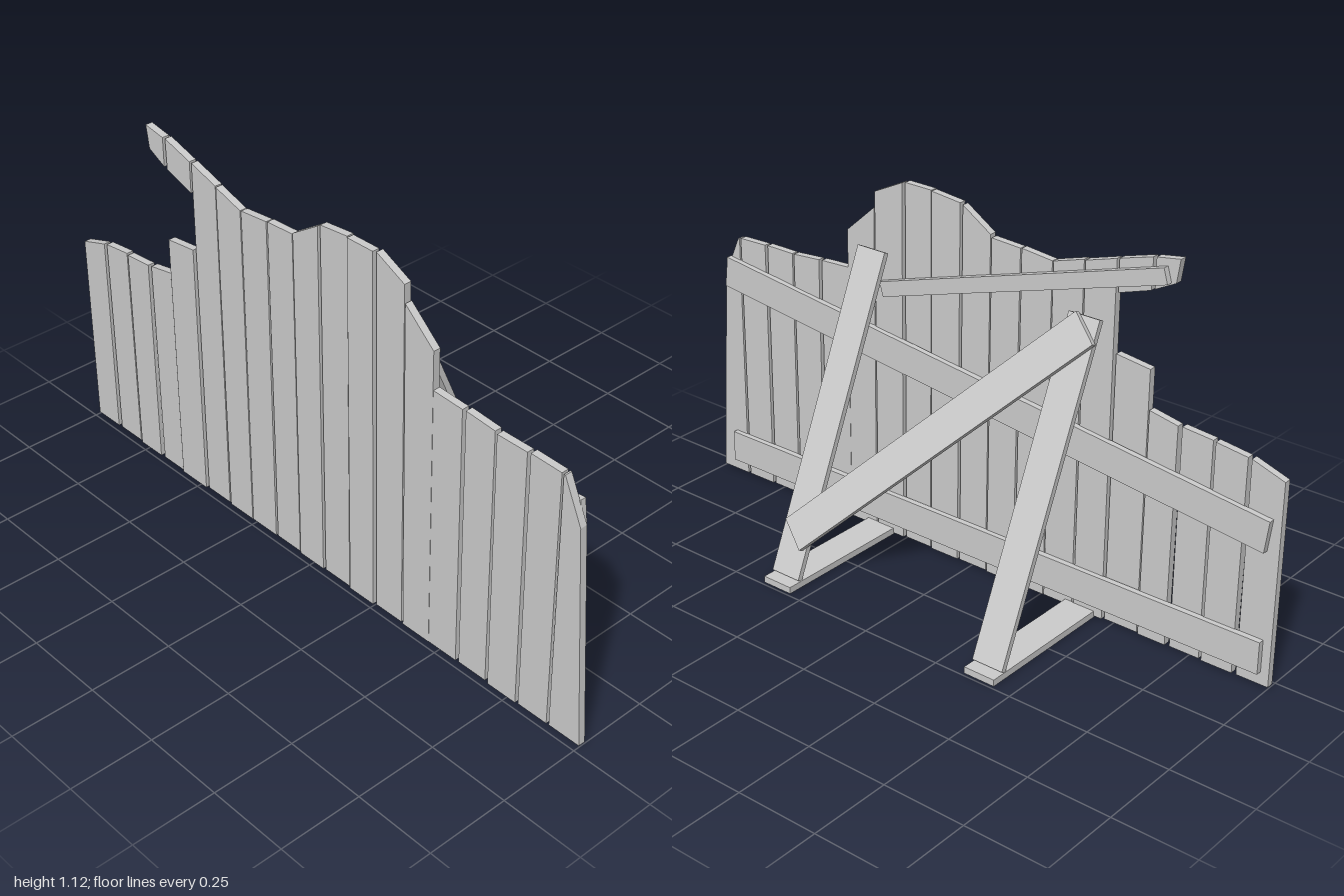
import * as THREE from 'three';

const material = new THREE.MeshStandardMaterial({ color: 0xcccccc, flatShading: true });

function addBox(parent, name, size, position, rotZ = 0) {
  const mesh = new THREE.Mesh(new THREE.BoxGeometry(...size), material);
  mesh.name = name;
  mesh.position.set(...position);
  mesh.rotation.z = rotZ;
  parent.add(mesh);
  return mesh;
}

// Flat board running from point a to point b in the xy plane
function addBoard(parent, name, a, b, width, z, depth) {
  const dx = b[0] - a[0], dy = b[1] - a[1];
  return addBox(parent, name, [Math.hypot(dx, dy), width, depth],
    [(a[0] + b[0]) / 2, (a[1] + b[1]) / 2, z], Math.atan2(dy, dx));
}

// Plank cut from an outline, with its back face at z
function addPlank(parent, name, points, z, depth = 0.022) {
  const shape = new THREE.Shape(points.map(([x, y]) => new THREE.Vector2(x, y)));
  const geometry = new THREE.ExtrudeGeometry(shape, { depth, bevelEnabled: false });
  const mesh = new THREE.Mesh(geometry, material);
  mesh.name = name;
  mesh.position.z = z;
  parent.add(mesh);
}

export function createModel() {
  const model = new THREE.Group();
  model.name = 'plankScreen';

  // Upright planks: left x, right x, top at left, top at right
  const planks = [
    [-1.0, -0.9, 0.615, 0.648], [-0.89, -0.793, 0.65, 0.662],
    [-0.783, -0.688, 0.662, 0.67], [-0.677, -0.587, 0.67, 0.687],
    [-0.58, -0.472, 0.8, 0.813], [-0.466, -0.368, 1.08, 1.05],
    [-0.362, -0.264, 1.05, 1.02], [-0.261, -0.16, 1.02, 1.03],
    [-0.157, -0.06, 1.03, 1.035], [-0.053, 0.043, 1.042, 1.103],
    [0.05, 0.15, 1.108, 1.118], [0.155, 0.248, 1.118, 1.119],
    [0.255, 0.355, 1.118, 1.07], [0.361, 0.462, 1.02, 0.93],
    [0.462, 0.563, 0.815, 0.81], [0.573, 0.672, 0.81, 0.802],
    [0.682, 0.782, 0.8, 0.8], [0.79, 0.89, 0.8, 0.797],
  ];
  const fence = new THREE.Group();
  fence.name = 'planks';
  model.add(fence);
  const offsets = [0.212, 0.21, 0.214, 0.211, 0.216, 0.21, 0.213];
  planks.forEach(([x0, x1, y0, y1], i) => {
    const lean = ((i * 3) % 5 - 2) * 0.001;
    addPlank(fence, 'plank', [[x0 + Math.max(lean, 0), 0.005], [x1 + Math.min(lean, 0), 0.005],
      [x1, y1], [x0, y0]], offsets[i % 7]);
  });
  addPlank(fence, 'endPlank', [[0.897, 0.005], [1, 0.005], [0.957, 0.67], [0.9, 0.795], [0.895, 0.795]], 0.21);

  // Short pieces forming the overhanging tip
  addPlank(fence, 'tipPiece', [[-0.645, 1.057], [-0.583, 1.025], [-0.583, 1.113], [-0.655, 1.125]], 0.213);
  addPlank(fence, 'tipPiece', [[-0.573, 1.02], [-0.473, 0.987], [-0.473, 1.082], [-0.575, 1.112]], 0.211);

  // Battens across the back
  addBoard(model, 'lowerBatten', [-0.975, 0.093], [0.94, 0.093], 0.098, 0.203, 0.018);
  addBoard(model, 'middleBatten', [-0.97, 0.453], [0.94, 0.683], 0.096, 0.203, 0.018);
  addBoard(model, 'upperBatten', [0.32, 0.79], [-0.625, 1.077], 0.045, 0.203, 0.018);

  // Leaning struts and the diagonal brace share one tilted plane
  const support = new THREE.Group();
  support.name = 'support';
  support.position.set(0, 0.02, -0.19);
  support.rotation.x = 0.413;
  model.add(support);
  for (const x of [-0.39, 0.345]) {
    addBox(model, 'foot', [0.1, 0.02, 0.452], [x, 0.01, -0.014]);
    addBox(support, 'strut', [0.1, 0.965, 0.017], [x, 0.4825, -0.0085]);
  }
  addBoard(support, 'diagonalBrace', [-0.41, 0.935], [0.345, 0.122], 0.104, -0.0255, 0.017);

  return model;
}
